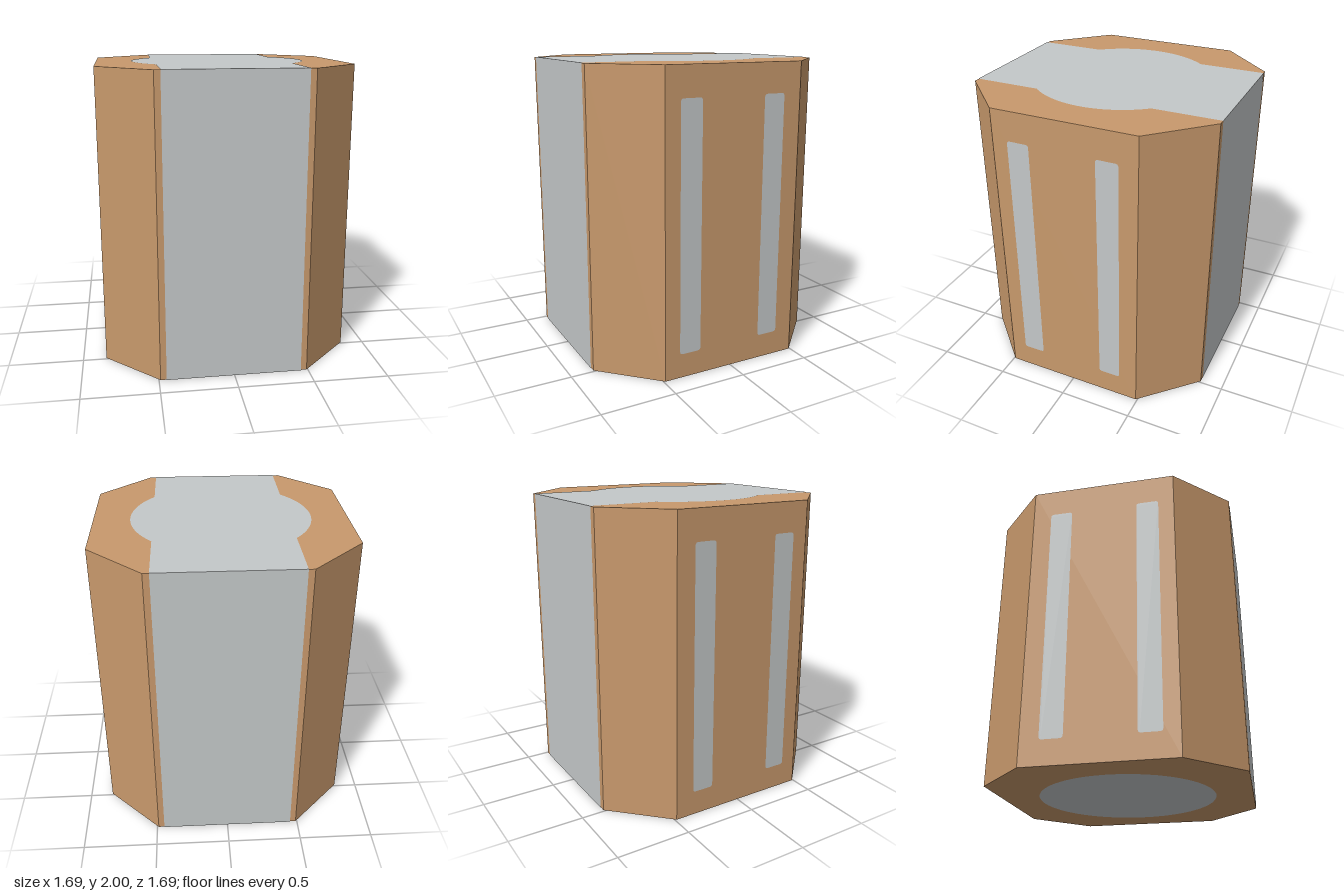
import * as THREE from 'three';

const HALF = 0.845;    // half width of the octagonal block
const CORNER = 0.49;   // where the chamfers start
const BAND = 0.45;     // half width of the silver band
const DISC = 0.6;      // radius of the end discs
const SKIN = 0.002;    // how far inlays stand proud

const wood = new THREE.MeshStandardMaterial({ color: 0xc8996c });
wood.name = 'tan wood';
const silver = new THREE.MeshStandardMaterial({ color: 0xc4c8c9 });
silver.name = 'silver grey';

function polygon(points) {
  return new THREE.Shape(points.map(([x, y]) => new THREE.Vector2(x, y)));
}

function roundedBar(w, h, r) {
  const s = new THREE.Shape();
  const x = w / 2, y = h / 2;
  s.moveTo(-x + r, -y);
  s.lineTo(x - r, -y);
  s.quadraticCurveTo(x, -y, x, -y + r);
  s.lineTo(x, y - r);
  s.quadraticCurveTo(x, y, x - r, y);
  s.lineTo(-x + r, y);
  s.quadraticCurveTo(-x, y, -x, y - r);
  s.lineTo(-x, -y + r);
  s.quadraticCurveTo(-x, -y, -x + r, -y);
  return s;
}

export function createModel() {
  const group = new THREE.Group();
  group.name = 'octagonalBlock';

  const add = (name, geometry, material) => {
    const mesh = new THREE.Mesh(geometry, material);
    mesh.name = name;
    group.add(mesh);
    return mesh;
  };

  // Octagonal body
  const h = HALF - SKIN, c = CORNER;
  const octagon = polygon([[h, -c], [h, c], [c, h], [-c, h], [-h, c], [-h, -c], [-c, -h], [c, -h]]);
  const body = new THREE.ExtrudeGeometry(octagon, { depth: 2 - 2 * SKIN, bevelEnabled: false });
  body.rotateX(-Math.PI / 2);
  body.translate(0, SKIN, 0);
  add('body', body, wood);

  // Top inlay: straight band that swells into a disc
  const a = Math.acos(BAND / DISC);
  const inlay = new THREE.Shape();
  inlay.moveTo(-BAND, -HALF);
  inlay.lineTo(BAND, -HALF);
  inlay.absarc(0, 0, DISC, -a, a, false);
  inlay.lineTo(BAND, HALF);
  inlay.lineTo(-BAND, HALF);
  inlay.absarc(0, 0, DISC, Math.PI - a, Math.PI + a, false);
  const top = add('topInlay', new THREE.ShapeGeometry(inlay, 24), silver);
  top.rotation.x = -Math.PI / 2;
  top.position.y = 2;

  // Bottom disc
  const bottom = add('bottomDisc', new THREE.CircleGeometry(DISC, 48), silver);
  bottom.rotation.x = Math.PI / 2;

  // Full-height bands on front and back
  for (const [name, side] of [['frontBand', 1], ['backBand', -1]]) {
    const band = add(name, new THREE.PlaneGeometry(2 * BAND, 2), silver);
    band.position.set(0, 1, side * HALF);
    band.rotation.y = side > 0 ? 0 : Math.PI;
  }

  // Two upright bars on each side
  const bar = new THREE.ShapeGeometry(roundedBar(0.15, 1.635, 0.02), 4);
  for (const [name, side] of [['left', 1], ['right', -1]]) {
    for (const [end, z] of [['Front', 0.31], ['Back', -0.29]]) {
      const strip = add(name + end + 'Bar', bar, silver);
      strip.position.set(side * HALF, 0.983, z);
      strip.rotation.y = side * Math.PI / 2;
    }
  }
  return group;
}
